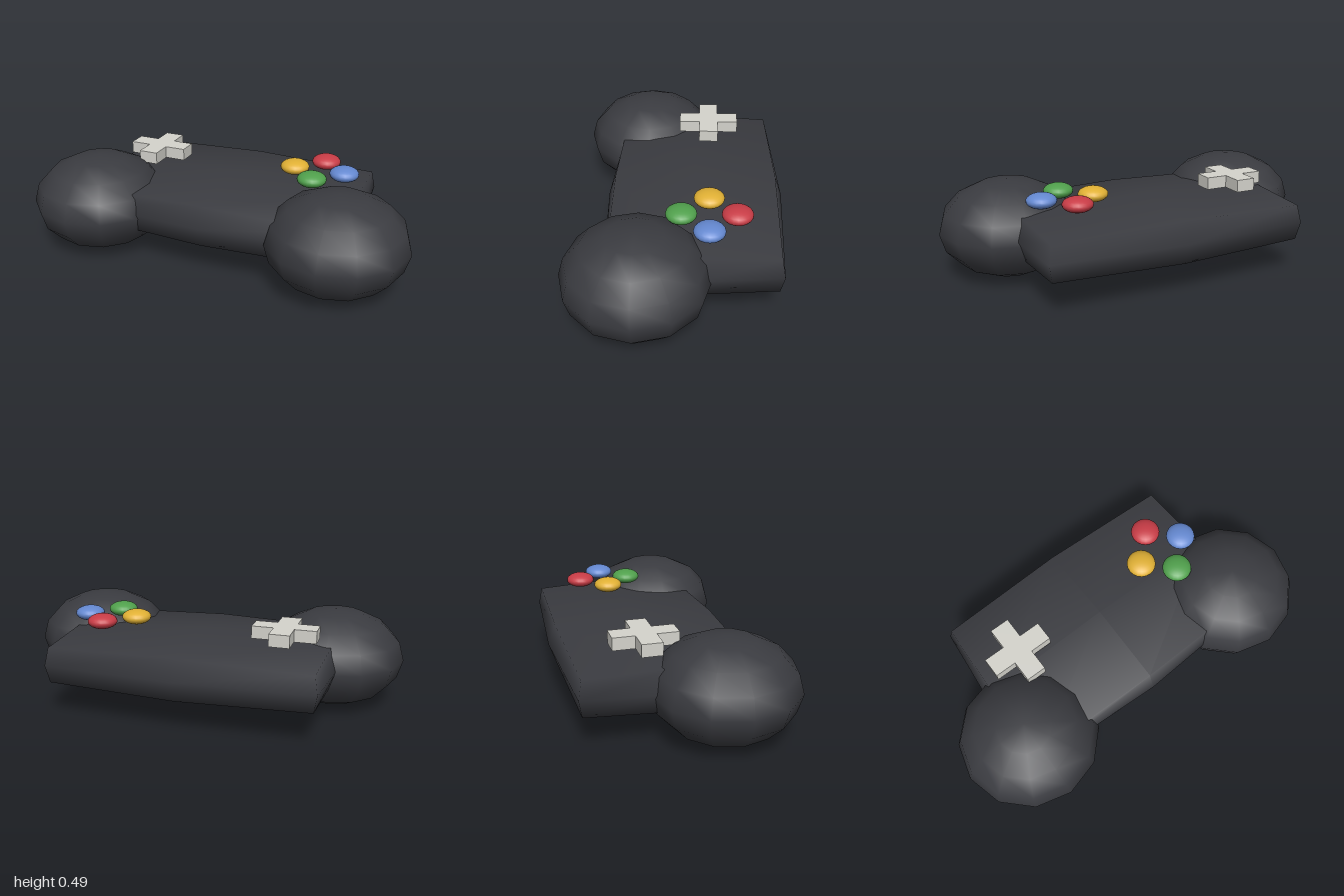
import * as THREE from 'three';
import { mergeVertices } from 'three/addons/utils/BufferGeometryUtils.js';

const paint = (color) => new THREE.MeshStandardMaterial({ color });

// Box of 2 x 2 x 2 cells whose edges and corners are pulled inward, with smooth normals
function softBox(w, h, d, r) {
  let geo = new THREE.BoxGeometry(w, h, d, 2, 2, 2);
  geo.deleteAttribute('uv');
  geo.deleteAttribute('normal');
  geo = mergeVertices(geo);
  const pos = geo.attributes.position;
  for (let i = 0; i < pos.count; i++) {
    const p = [pos.getX(i), pos.getY(i), pos.getZ(i)];
    const n = p.filter((c) => Math.abs(c) > 1e-6).length;
    const inset = r * (1 - 1 / Math.sqrt(n));
    pos.setXYZ(i, ...p.map((c) => (Math.abs(c) > 1e-6 ? c - Math.sign(c) * inset : 0)));
  }
  geo.computeVertexNormals();
  return geo;
}

export function createModel() {
  const model = new THREE.Group();
  const add = (name, geo, mat, x, y, z, parent = model) => {
    const mesh = new THREE.Mesh(geo, mat);
    mesh.name = name;
    mesh.position.set(x, y, z);
    parent.add(mesh);
    return mesh;
  };

  // Main body
  const dark = paint(0x3a3b40);
  add('body', softBox(1.414, 0.285, 0.896, 0.125), dark, 0, 0.267, -0.082);

  // Two rounded hand grips
  const gripGeo = new THREE.SphereGeometry(1, 12, 8).scale(0.353, 0.247, 0.353);
  add('leftGrip', gripGeo, dark, 0.647, 0.247, 0.18);
  add('rightGrip', gripGeo, dark, -0.647, 0.247, 0.18);

  // Cross-shaped direction pad, extruded upward
  const a = 0.05, b = 0.158;
  const cross = new THREE.Shape(
    [[a, b], [-a, b], [-a, a], [-b, a], [-b, -a], [-a, -a],
      [-a, -b], [a, -b], [a, -a], [b, -a], [b, a], [a, a]].map(([x, y]) => new THREE.Vector2(x, y)));
  const padGeo = new THREE.ExtrudeGeometry(cross, { depth: 0.062, bevelEnabled: false }).rotateX(-Math.PI / 2);
  add('directionPad', padGeo, paint(0xd4d3cc), -0.453, 0.412, -0.15);

  // Diamond of four coloured buttons
  const buttons = new THREE.Group();
  buttons.name = 'buttons';
  buttons.position.set(0.45, 0.457, -0.15);
  model.add(buttons);
  const buttonGeo = new THREE.SphereGeometry(0.074, 20, 14).scale(1, 0.5, 1);
  [['redButton', 0xc83c46, 0, -1], ['yellowButton', 0xe0b034, -1, 0],
    ['blueButton', 0x6488d0, 1, 0], ['greenButton', 0x50a04c, 0, 1]]
    .forEach(([name, color, x, z]) => add(name, buttonGeo, paint(color), x * 0.13, 0, z * 0.13, buttons));

  return model;
}
